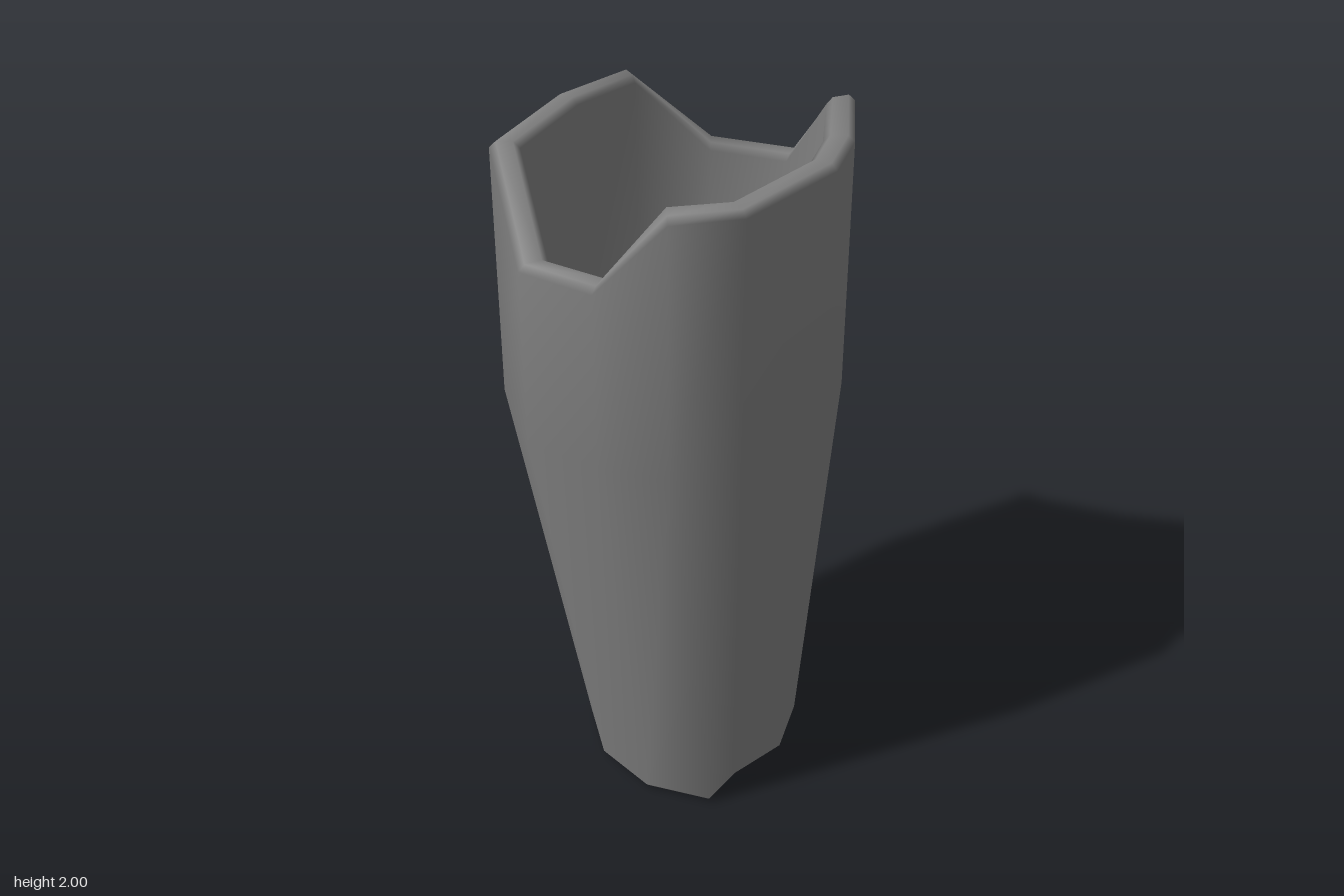
import * as THREE from 'three';

// Twelve columns around the sleeve, starting at the back and passing +x first.
// Each: top outer x,z | top inner x,z | bottom inner x,z | rim height
const HIGH = 2, LOW = 1.785, BEND = 1.26, BEVEL = 0.018;
const columns = [
  [0.06, -0.515, 0.06, -0.435, 0.065, -0.32, LOW],
  [0.25, -0.465, 0.2, -0.395, 0.16, -0.28, HIGH],
  [0.385, -0.215, 0.315, -0.17, 0.215, -0.175, HIGH],
  [0.435, -0.03, 0.355, -0.03, 0.255, -0.03, HIGH],
  [0.385, 0.325, 0.315, 0.285, 0.215, 0.115, HIGH],
  [0.25, 0.46, 0.2, 0.39, 0.21, 0.22, HIGH],
  [0.06, 0.51, 0.06, 0.43, 0.065, 0.26, LOW],
  [-0.165, 0.51, -0.125, 0.435, -0.08, 0.22, LOW],
  [-0.385, 0.325, -0.315, 0.285, -0.185, 0.115, HIGH],
  [-0.435, -0.03, -0.36, -0.03, -0.225, -0.03, HIGH],
  [-0.385, -0.285, -0.32, -0.245, -0.185, -0.175, HIGH],
  [-0.2, -0.455, -0.16, -0.385, -0.08, -0.28, LOW],
];

// Closed wall section of one column: up the outside, over the rim, down the inside
function wallSection([ox, oz, ix, iz, bx, bz, rim]) {
  const cx = 0.015, cz = -0.03;
  const footX = cx + (bx - cx) * 1.33, footZ = cz + (bz - cz) * 1.27;
  const between = (a, b, t) => a + (b - a) * t;
  const foot = (t, y) => [between(footX, bx, t), y, between(footZ, bz, t)];
  const top = (t, y) => [between(ox, ix, t), y, between(oz, iz, t)];
  return [
    foot(0.2, 0), foot(0, BEVEL),
    top(0, BEND), top(0, rim - BEVEL),
    top(0.22, rim), top(0.78, rim),
    top(1, rim - BEVEL), top(1, BEND),
    foot(1, BEVEL), foot(0.85, 0),
  ];
}

function sleeveGeometry() {
  const sections = columns.map(wallSection);
  const n = sections.length, m = sections[0].length;
  const index = [];
  for (let i = 0; i < n; i++) {
    for (let j = 0; j < m; j++) {
      const next = (i + 1) % n, up = (j + 1) % m;
      const a = i * m + j, b = i * m + up, c = next * m + up, d = next * m + j;
      index.push(a, b, d, b, c, d);
    }
  }
  const geometry = new THREE.BufferGeometry();
  geometry.setAttribute('position', new THREE.Float32BufferAttribute(sections.flat(2), 3));
  geometry.setIndex(index);
  geometry.computeVertexNormals();
  return geometry;
}

export function createModel() {
  const gray = new THREE.MeshStandardMaterial({ color: 0x808080 });
  gray.name = 'gray';
  const sleeve = new THREE.Mesh(sleeveGeometry(), gray);
  sleeve.name = 'taperedSleeve';
  const model = new THREE.Group();
  model.name = 'notchedSleeve';
  model.add(sleeve);
  return model;
}
